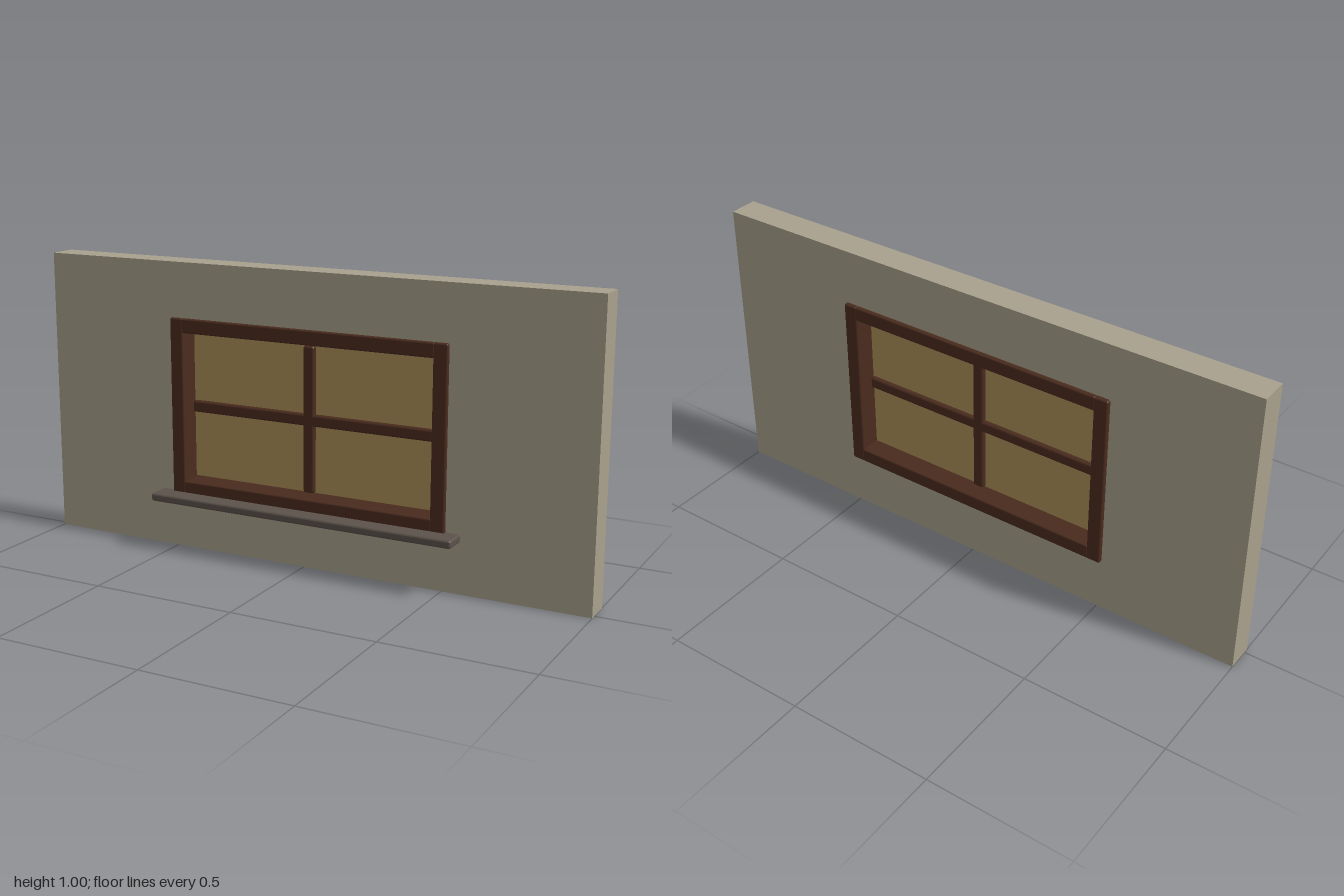
import * as THREE from 'three';
import { RoundedBoxGeometry } from 'three/addons/geometries/RoundedBoxGeometry.js';

function material(name, color) {
  const m = new THREE.MeshStandardMaterial({ color });
  m.name = name;
  return m;
}

export function createModel() {
  const group = new THREE.Group();
  const plaster = material('plaster', 0xa9a18d);
  const wood = material('dark wood', 0x4a2b1e);
  const pane = material('amber glass', 0xac9059);
  const stone = material('sill stone', 0x5b524b);

  const midZ = -0.03; // middle of the wall thickness

  function add(name, geometry, mat, x, y, z) {
    const mesh = new THREE.Mesh(geometry, mat);
    mesh.name = name;
    mesh.position.set(x, y, z);
    group.add(mesh);
  }
  const rounded = (w, h, d, r) => new RoundedBoxGeometry(w, h, d, 2, r);

  // Wall with a rectangular window opening
  const outline = new THREE.Shape([
    new THREE.Vector2(-1, 0), new THREE.Vector2(1, 0),
    new THREE.Vector2(1, 1), new THREE.Vector2(-1, 1),
  ]);
  outline.holes.push(new THREE.Path([
    new THREE.Vector2(-0.5, 0.2), new THREE.Vector2(-0.5, 0.8),
    new THREE.Vector2(0.5, 0.8), new THREE.Vector2(0.5, 0.2),
  ]));
  add('wall', new THREE.ExtrudeGeometry(outline, { depth: 0.1, bevelEnabled: false }),
    plaster, 0, 0, -0.08);

  // Frame: two full-height jambs with rails between them
  const frameDepth = 0.128;
  for (const s of [-1, 1]) {
    add(s > 0 ? 'leftJamb' : 'rightJamb', rounded(0.05, 0.62, frameDepth, 0.006),
      wood, s * 0.485, 0.5, midZ - 0.001);
    add(s > 0 ? 'topRail' : 'bottomRail', rounded(0.93, 0.05, frameDepth, 0.006),
      wood, 0, 0.5 + s * 0.285, midZ - 0.001);
  }

  // Glass, set slightly clear of the frame
  add('glass', new THREE.BoxGeometry(0.9, 0.5, 0.008), pane, 0, 0.5, midZ);

  // Crossed glazing bars
  add('verticalBar', rounded(0.04, 0.5, 0.04, 0.008), wood, 0, 0.5, midZ);
  add('horizontalBar', rounded(0.9, 0.04, 0.04, 0.008), wood, 0, 0.5, midZ);

  // Projecting outer sill
  add('sill', rounded(1.12, 0.028, 0.085, 0.008), stone, 0, 0.186, 0.0545);

  return group;
}
